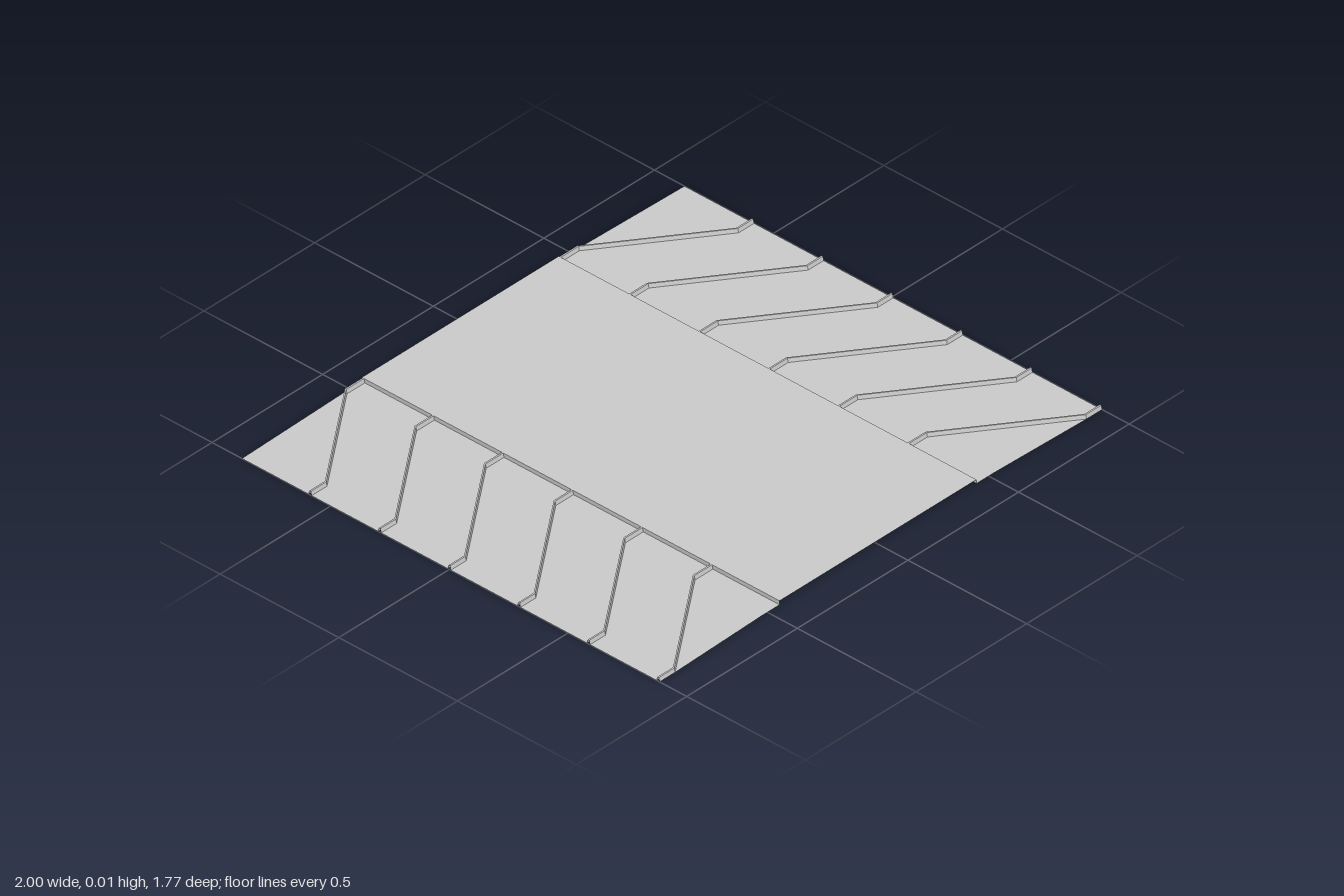
import * as THREE from 'three';

const H = 0.015;            // rib and centre height
const SEAM = 0.445;         // half width of the centre panel
const BACK = -0.886;        // back edge
const PITCH = 0.2933;       // rib spacing
const RIB = 0.012;          // rib width
const COUNT = 6;
const FRONT = BACK + COUNT * PITCH;

const material = new THREE.MeshStandardMaterial({
  color: 0xcccccc, flatShading: true, side: THREE.DoubleSide,
});

// Sheet joining successive rows of points; flip reverses the winding
function sheet(rows, flip, name) {
  const n = rows[0].length;
  const index = [];
  for (let r = 0; r < rows.length - 1; r++) {
    for (let i = 0; i < n - 1; i++) {
      const a = r * n + i, b = a + 1, c = a + n, d = c + 1;
      if (flip) index.push(a, b, c, b, d, c);
      else index.push(a, c, b, b, c, d);
    }
  }
  const geometry = new THREE.BufferGeometry();
  geometry.setAttribute('position', new THREE.Float32BufferAttribute(rows.flat(2), 3));
  geometry.setIndex(index);
  geometry.computeVertexNormals();
  const mesh = new THREE.Mesh(geometry, material);
  mesh.name = name;
  return mesh;
}

// Side panel crossed by slanted ribs with short straight ends
function sidePanel(side, name) {
  const xs = [SEAM, 0.525, 0.93, 1];
  const slant = [0, 0, PITCH, PITCH];
  const taper = [0, 0, RIB * 0.85, RIB];
  const profile = [[0, 0], [0.003, H], [RIB - 0.003, H], [RIB, 0]];
  const row = (y, z) => xs.map((x, i) => [side * x, y, z(i)]);

  const rows = [row(0, i => BACK + taper[i])];
  for (let k = 0; k < COUNT; k++) {
    for (const [dz, y] of profile) {
      rows.push(row(y, i => BACK + k * PITCH + slant[i] + dz));
    }
  }
  rows.push(row(0, i => FRONT + taper[i]));
  return sheet(rows, side < 0, name);
}

export function createModel() {
  const group = new THREE.Group();
  group.name = 'ribbedMat';

  // Raised centre panel with its low side walls
  const section = [[-SEAM, 0], [-SEAM, H], [SEAM, H], [SEAM, 0]];
  const rows = [BACK, FRONT].map(z => section.map(([x, y]) => [x, y, z]));
  group.add(sheet(rows, false, 'centrePanel'));

  group.add(sidePanel(1, 'leftRibbedPanel'));
  group.add(sidePanel(-1, 'rightRibbedPanel'));
  return group;
}
